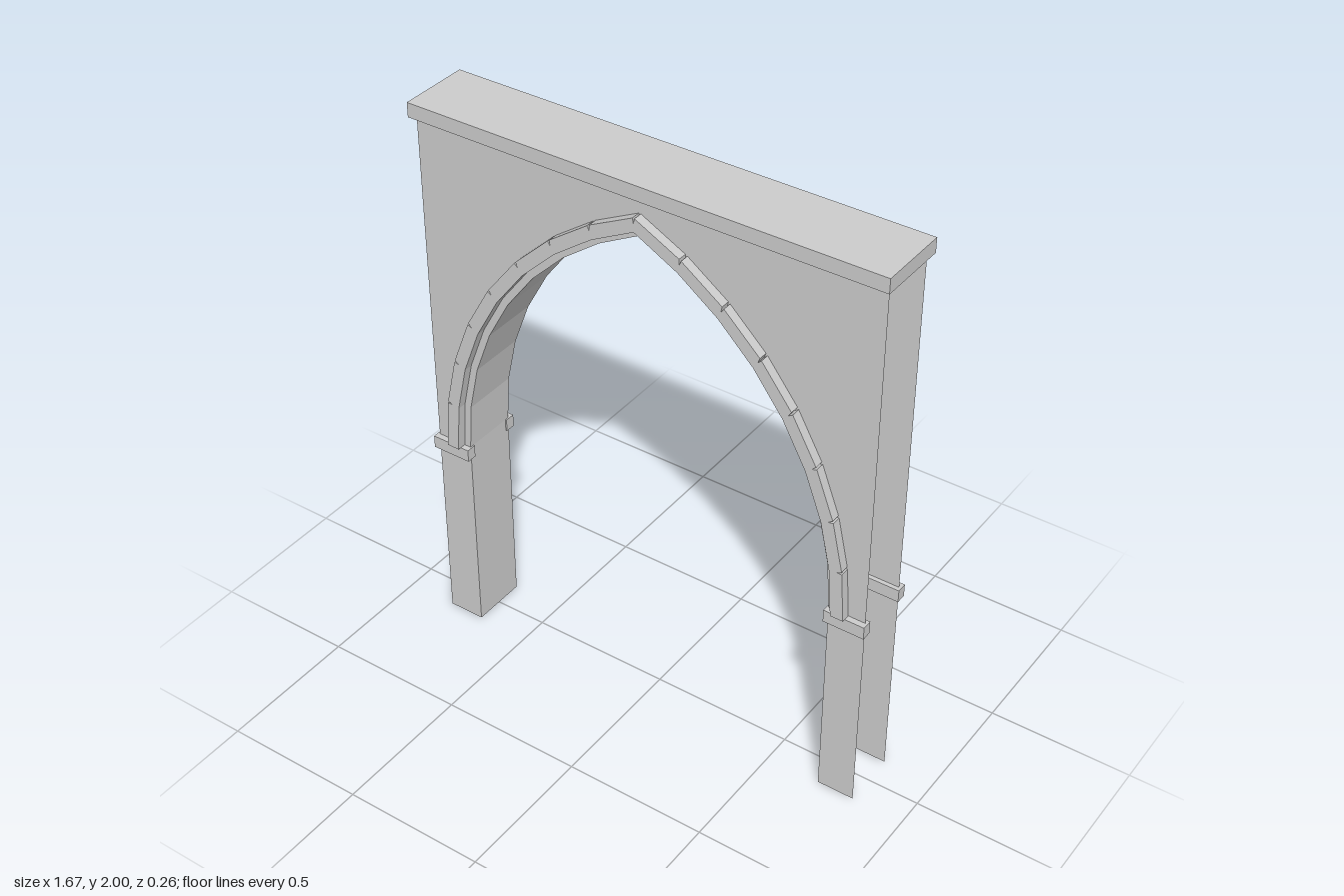
import * as THREE from 'three';

const SPRING = 0.75, CENTRE = 0.485, SEGS = 8, WALL_Z = 0.1;

// Points of a pointed arch, from the +x springing over the apex to the -x one
function archPoints(halfWidth) {
  const r = halfWidth + CENTRE;
  const end = Math.acos(CENTRE / r);
  const right = [];
  for (let i = 0; i <= SEGS; i++) {
    const a = (end * i) / SEGS;
    right.push(new THREE.Vector2(i === SEGS ? 0 : r * Math.cos(a) - CENTRE, SPRING + r * Math.sin(a)));
  }
  const left = right.slice(0, -1).reverse().map(p => new THREE.Vector2(-p.x, p.y));
  return [...right, ...left];
}

// Outer moulding line with a small V-shaped joint cut in at each stone boundary
function notchedPoints(halfWidth, depth, gap) {
  const pts = archPoints(halfWidth);
  const deep = archPoints(halfWidth - depth);
  return pts.flatMap((p, i) => {
    if (i === 0 || i === pts.length - 1) return [p];
    const before = p.clone().add(pts[i - 1].clone().sub(p).setLength(gap));
    const after = p.clone().add(pts[i + 1].clone().sub(p).setLength(gap));
    return [before, deep[i], after];
  });
}

// Open strip that follows a line in x,y and spans the wall depth
function ribbon(points, depth) {
  const pos = [], index = [];
  points.forEach((p, i) => {
    pos.push(p.x, p.y, depth, p.x, p.y, -depth);
    if (i) {
      const a = 2 * (i - 1);
      index.push(a, a + 1, a + 2, a + 1, a + 3, a + 2);
    }
  });
  const g = new THREE.BufferGeometry();
  g.setAttribute('position', new THREE.Float32BufferAttribute(pos, 3));
  g.setIndex(index);
  const flat = g.toNonIndexed();
  flat.computeVertexNormals();
  return flat;
}

export function createModel() {
  const group = new THREE.Group();
  const solid = new THREE.MeshStandardMaterial({ color: 0xcccccc, flatShading: true });
  const sheet = new THREE.MeshStandardMaterial({ color: 0xcccccc, flatShading: true, side: THREE.DoubleSide });

  const add = (name, geometry, material, parent = group) => {
    const mesh = new THREE.Mesh(geometry, material);
    mesh.name = name;
    parent.add(mesh);
    return mesh;
  };

  // Outline of the opening: jambs and pointed arch
  const opening = [new THREE.Vector2(0.69, 0), ...archPoints(0.69), new THREE.Vector2(-0.69, 0)];

  // Thin wall face around the opening, open at the ends
  const wallGeo = new THREE.ShapeGeometry(new THREE.Shape([
    ...opening,
    new THREE.Vector2(-0.82, 0), new THREE.Vector2(-0.82, 1.95),
    new THREE.Vector2(0.82, 1.95), new THREE.Vector2(0.82, 0),
  ]));

  // Raised moulding band with stone joints
  const mouldingGeo = new THREE.ExtrudeGeometry(
    new THREE.Shape([...notchedPoints(0.76, 0.018, 0.004), ...archPoints(0.715).reverse()]),
    { depth: 0.032, bevelEnabled: false });

  // Front and back carry the same wall, moulding and imposts
  for (const side of ['front', 'back']) {
    const face = new THREE.Group();
    face.name = side + 'Face';
    if (side === 'back') face.rotation.y = Math.PI;
    group.add(face);
    add(side + 'Wall', wallGeo, sheet, face).position.z = WALL_Z;
    add(side + 'Moulding', mouldingGeo, solid, face).position.z = WALL_Z;
    for (const s of [1, -1]) {
      add(side + 'Impost', new THREE.BoxGeometry(0.143, 0.045, 0.036), solid, face)
        .position.set(s * 0.7565, 0.7275, 0.103);
    }
  }

  // Jambs and soffit lining the opening
  add('archSoffit', ribbon(opening, WALL_Z), sheet);

  // Coping slab
  add('coping', new THREE.BoxGeometry(1.666, 0.05, 0.25), solid).position.y = 1.975;

  return group;
}
